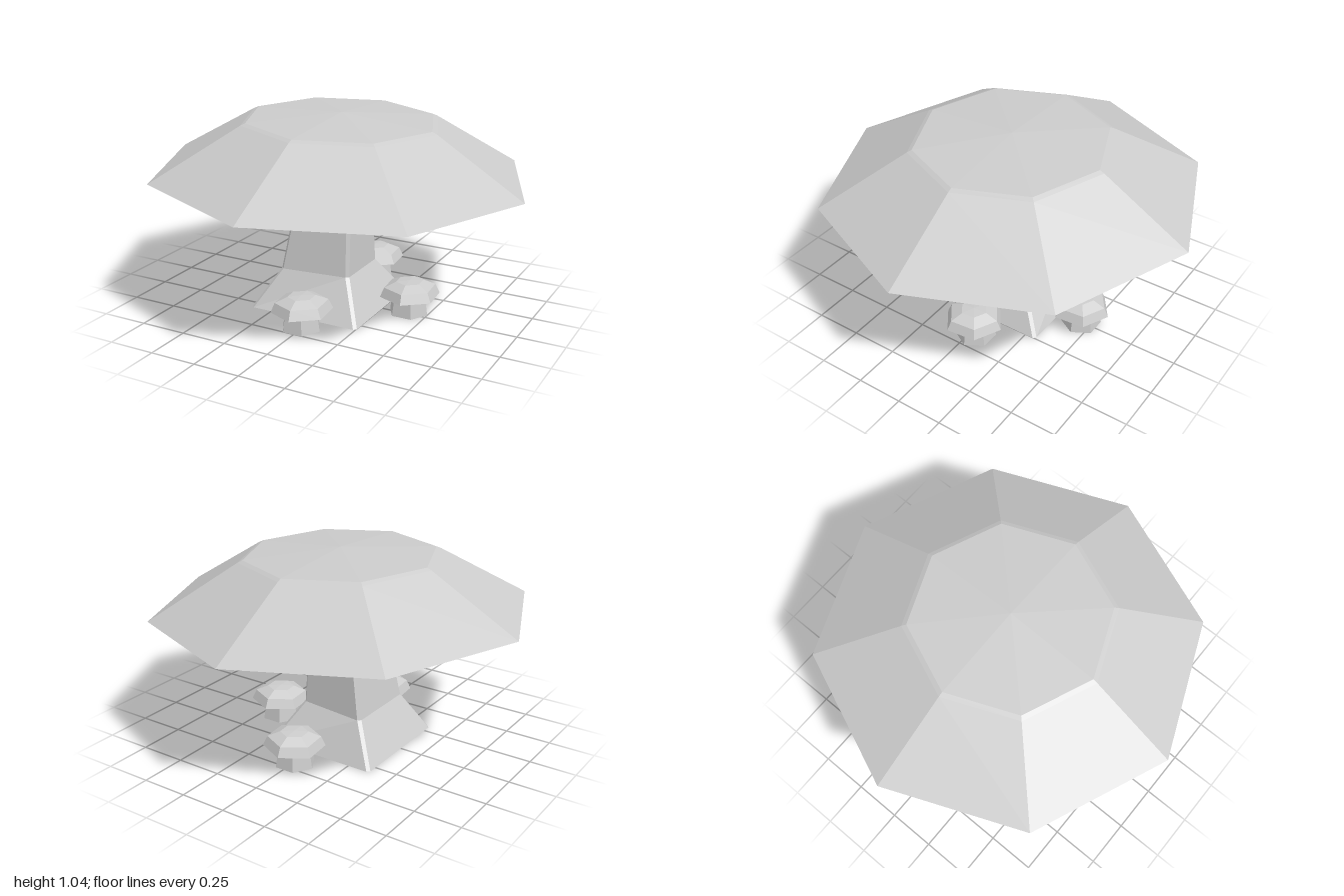
import * as THREE from 'three';

const material = new THREE.MeshStandardMaterial({ color: 0xcccccc, flatShading: true, side: THREE.DoubleSide });

function part(name, geometry) {
  const mesh = new THREE.Mesh(geometry, material);
  mesh.name = name;
  return mesh;
}

// Faceted shell turned around y; profile runs under the cap, round the rim and up to the apex
function shell(name, profile, sides, turn = 0) {
  const points = profile.map(([r, y]) => new THREE.Vector2(r, y));
  return part(name, new THREE.LatheGeometry(points, sides, turn));
}

// Four-sided stem with narrow bevelled corners, open at both ends
// Level: [y, x of right side, x of left side, half depth at right, half depth at left, bevel]
function stemGeometry(levels) {
  const positions = [];
  const index = [];
  for (const [y, x0, x1, z0, z1, b] of levels) {
    const ring = [
      [x0 + b, z0], [x1 - b, z1], [x1, z1 - b], [x1, b - z1],
      [x1 - b, -z1], [x0 + b, -z0], [x0, b - z0], [x0, z0 - b],
    ];
    for (const [x, z] of ring) positions.push(x, y, z);
  }
  for (let level = 0; level < levels.length - 1; level++) {
    for (let i = 0; i < 8; i++) {
      const a = level * 8 + i;
      const b = level * 8 + (i + 1) % 8;
      index.push(a, b, b + 8, a, b + 8, a + 8);
    }
  }
  const geometry = new THREE.BufferGeometry();
  geometry.setAttribute('position', new THREE.Float32BufferAttribute(positions, 3));
  geometry.setIndex(index);
  geometry.computeVertexNormals();
  return geometry;
}

// Small six-sided mushroom
function smallMushroom(x, z) {
  const group = new THREE.Group();
  group.name = 'smallMushroom';
  const stem = part('smallStem', new THREE.CylinderGeometry(0.085, 0.107, 0.15, 6, 1, true, Math.PI / 6));
  stem.position.set(-0.01, 0.075, -0.004);
  const cap = shell('smallCap', [
    [0, 0.172], [0.068, 0.168], [0.128, 0.143], [0.152, 0.101],
    [0.16, 0.1], [0.137, 0.15], [0.072, 0.178], [0, 0.183],
  ], 6, 0.1);
  cap.rotation.z = 0.03;
  group.add(stem, cap);
  group.position.set(x, 0, z);
  return group;
}

export function createModel() {
  const model = new THREE.Group();
  model.name = 'mushrooms';

  // Broad, slightly tilted eight-sided cap with a thin rim
  const cap = shell('cap', [
    [0, 1.03], [0.51, 0.99], [0.985, 0.724],
    [1, 0.725], [0.53, 0.999], [0.505, 1.01], [0, 1.045],
  ], 8);
  cap.rotation.z = -0.025;
  cap.position.x = -0.018;
  model.add(cap);

  // Leaning stem with a flared foot
  model.add(part('stem', stemGeometry([
    [0, -0.375, 0.253, 0.312, 0.312, 0.015],
    [0.21, -0.25, 0.133, 0.207, 0.167, 0.016],
    [0.72, -0.158, 0.122, 0.153, 0.127, 0.016],
    [1.02, -0.117, 0.115, 0.122, 0.103, 0.016],
  ])));

  // Small mushrooms round the foot
  for (const [x, z] of [[0.003, 0.415], [0.403, -0.025], [0.003, -0.435]]) model.add(smallMushroom(x, z));

  return model;
}
